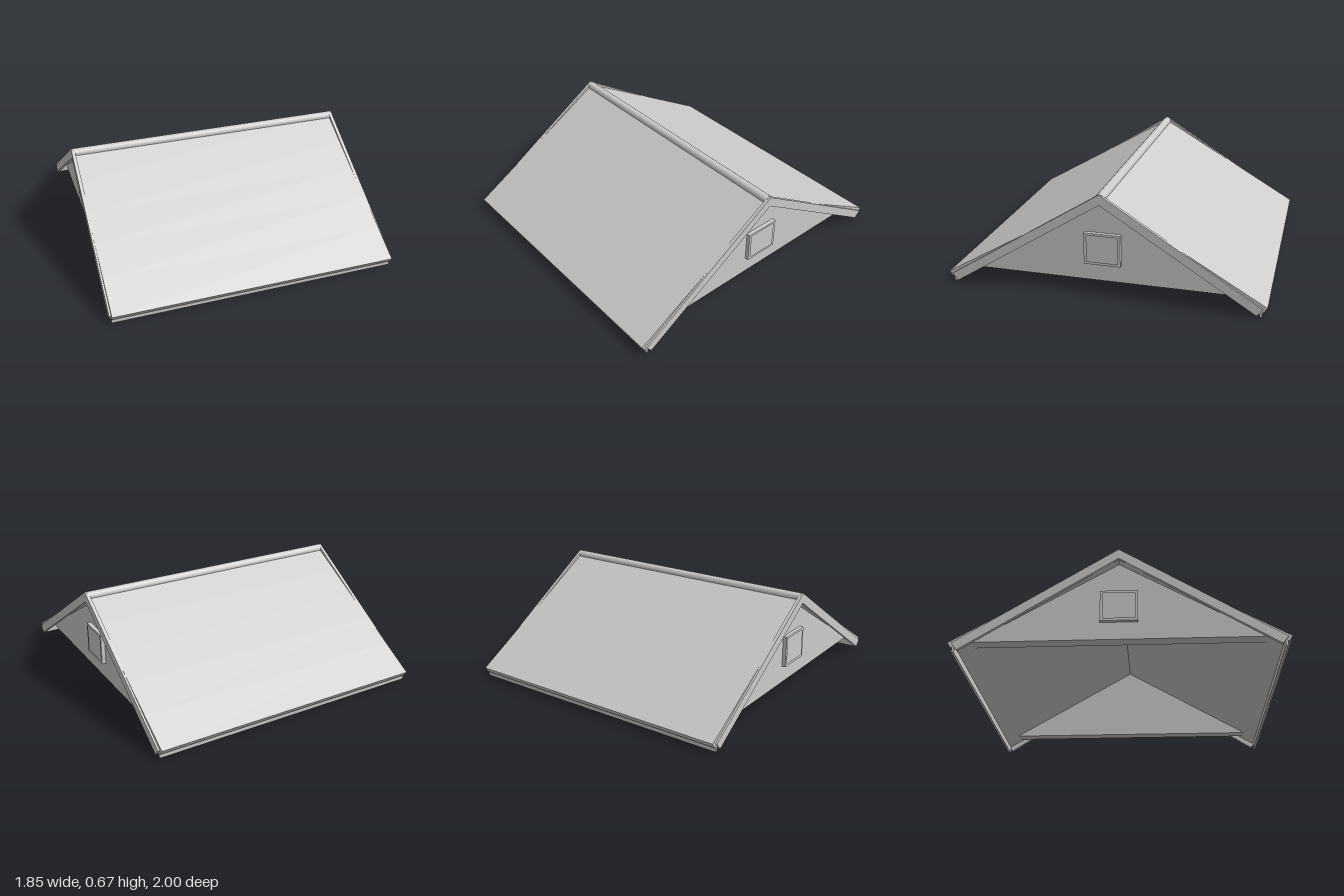
import * as THREE from 'three';

const material = new THREE.MeshStandardMaterial({ color: 0xcccccc, flatShading: true });
const smooth = new THREE.MeshStandardMaterial({ color: 0xcccccc });

const SLOPE = 0.585;      // roof fall per unit of z
const RIDGE_Y = 0.648;    // height where the two roof planes meet
const HALF_WIDTH = 0.915; // half length of the roof along x
const THICK = 0.046;      // vertical thickness of the roof boards

function addMesh(parent, name, geometry, mat = material) {
  const mesh = new THREE.Mesh(geometry, mat);
  mesh.name = name;
  parent.add(mesh);
  return mesh;
}

// Extrudes an outline of [z, y] points along x, from x0 to x1
function profile(points, x0, x1, hole) {
  const toShape = (p) => p.map(([z, y]) => new THREE.Vector2(-z, y));
  const shape = new THREE.Shape(toShape(points));
  if (hole) shape.holes.push(new THREE.Path(toShape(hole)));
  const geometry = new THREE.ExtrudeGeometry(shape, { depth: x1 - x0, bevelEnabled: false });
  return geometry.rotateY(Math.PI / 2).translate(x0, 0, 0);
}

const rectangle = (w, y0, y1) => [[-w, y0], [w, y0], [w, y1], [-w, y1]];

export function createModel() {
  const model = new THREE.Group();
  model.name = 'gableRoof';
  const top = (z) => RIDGE_Y - SLOPE * z;

  for (const side of [1, -1]) {
    const slope = new THREE.Group();
    slope.name = side > 0 ? 'frontSlope' : 'backSlope';
    model.add(slope);

    // Rows of roof boards, the last one cut square at the eave
    const rows = [0, 0.2, 0.395, 0.59, 0.79, 1];
    for (let i = 0; i < 5; i++) {
      const a = rows[i], b = rows[i + 1];
      const lower = i === 4 ? b - 0.022 : b;
      const outline = [[a, top(a)], [b, top(b)], [lower, top(lower) - THICK], [a, top(a) - THICK]];
      addMesh(slope, 'roofBoard', profile(outline.map(([z, y]) => [side * z, y]), -HALF_WIDTH, HALF_WIDTH));
    }

    // Upright fascia below the eave
    const fascia = new THREE.BoxGeometry(2 * HALF_WIDTH, 0.05, 0.015);
    addMesh(slope, 'fascia', fascia).position.set(0, 0.025, side * 0.963);
  }

  // Rounded cap along the ridge
  const cap = new THREE.CylinderGeometry(0.03, 0.03, 2 * HALF_WIDTH, 16).rotateZ(Math.PI / 2);
  addMesh(model, 'ridgeCap', cap, smooth).position.y = 0.638;

  for (const side of [1, -1]) {
    const gable = new THREE.Group();
    gable.name = side > 0 ? 'leftGable' : 'rightGable';
    gable.rotation.y = side > 0 ? 0 : Math.PI;
    model.add(gable);

    // Barge boards covering the ends of the roof
    addMesh(gable, 'bargeBoard', profile([
      [0, 0.67], [0.975, 0.055], [0.94, 0.01], [0, 0.605], [-0.94, 0.01], [-0.975, 0.055],
    ], 0.905, 0.927));

    // Thick triangular wall reaching up to the boards
    addMesh(gable, 'gableWall', profile([[-0.875, 0.09], [0.875, 0.09], [0, 0.602]], 0.78, 0.86));

    // Raised square frame on the wall
    addMesh(gable, 'ventFrame', profile(
      rectangle(0.114, 0.203, 0.405), 0.85, 0.885, rectangle(0.096, 0.22, 0.39)));
  }
  return model;
}
